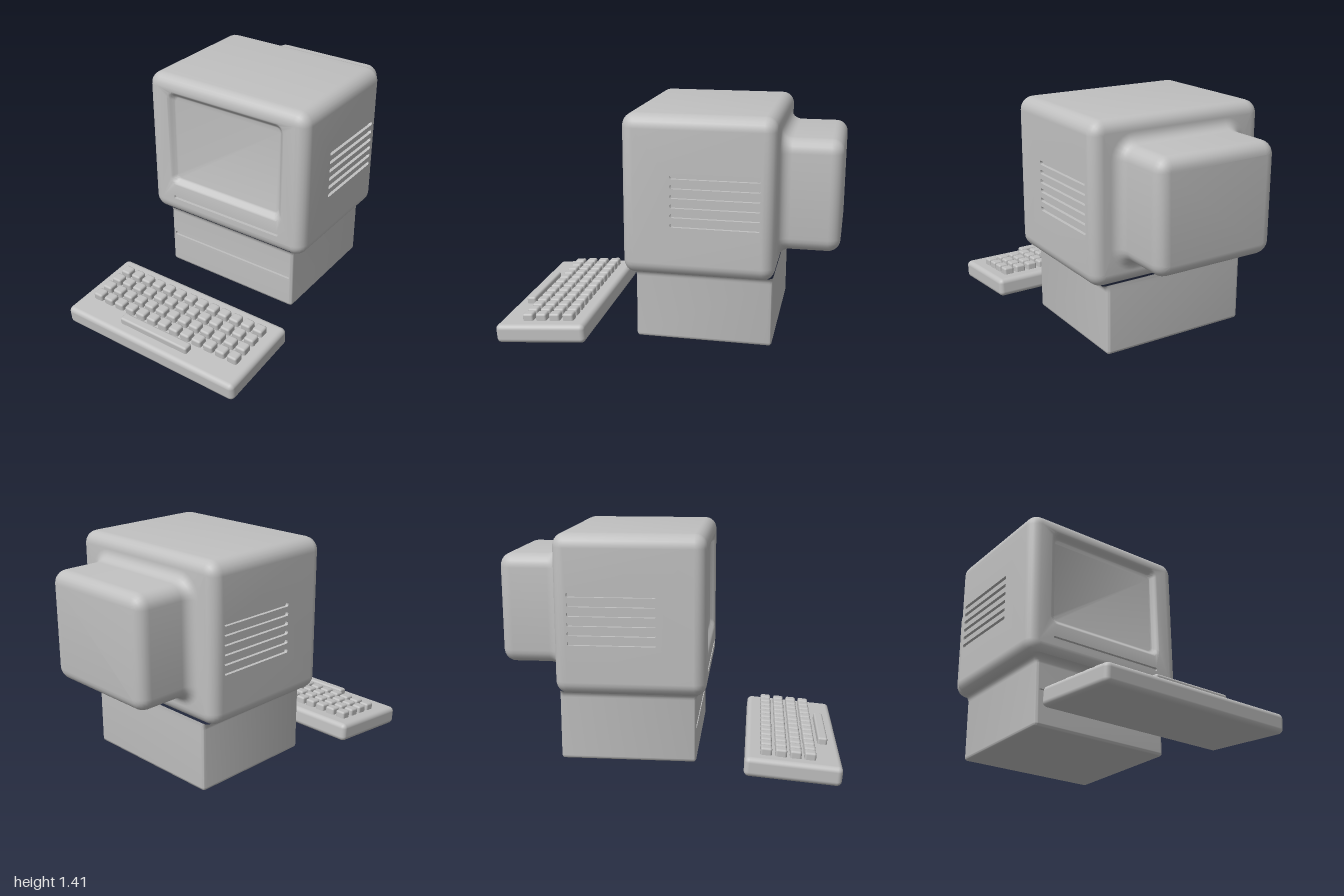
import * as THREE from 'three';
import { mergeGeometries, toCreasedNormals } from 'three/addons/utils/BufferGeometryUtils.js';
import { RoundedBoxGeometry } from 'three/addons/geometries/RoundedBoxGeometry.js';

const N = 6; // segments per rounded corner
const STEPS = [0, 1, 2, 3, 4, 5, 6].map((i) => (i / 6) * Math.PI / 2);

// Rounded rectangle of half sizes w, h, counter-clockwise around (cx, cy)
function ring(w, h, r, cx = 0, cy = 0) {
  const pts = [];
  [[1, 1], [-1, 1], [-1, -1], [1, -1]].forEach(([sx, sy], k) => {
    for (let j = 0; j <= N; j++) {
      const a = (k + j / N) * Math.PI / 2;
      pts.push(new THREE.Vector2(
        cx + sx * (w - r) + r * Math.cos(a), cy + sy * (h - r) + r * Math.sin(a)));
    }
  });
  return pts;
}

// Skin over sections [z, ring]; skip(segment, straightSide) leaves an opening.
// Straight sides: 0 = +y, 1 = -x, 2 = -y, 3 = +x
function loft(sections, { capStart = false, capEnd = false, skip = () => false } = {}) {
  const pos = [], index = [], n = sections[0][1].length;
  sections.forEach(([z, pts]) => pts.forEach((p) => pos.push(p.x, p.y, z)));
  for (let i = 0; i < sections.length - 1; i++) {
    for (let j = 0; j < n; j++) {
      if (j % (N + 1) === N && skip(i, (j - N) / (N + 1))) continue;
      const a = i * n + j, b = i * n + (j + 1) % n;
      index.push(a, b, b + n, a, b + n, a + n);
    }
  }
  const last = (sections.length - 1) * n;
  for (let j = 1; j < n - 1; j++) {
    if (capStart) index.push(0, j + 1, j);
    if (capEnd) index.push(last, last + j, last + j + 1);
  }
  const g = new THREE.BufferGeometry();
  g.setAttribute('position', new THREE.Float32BufferAttribute(pos, 3));
  g.setIndex(index);
  return g;
}

// Flat panel facing +z with sunken grooves and further openings
function panel(outline, grooves, depth, openings = []) {
  const shape = new THREE.Shape(outline);
  [...grooves, ...openings].forEach((h) => shape.holes.push(new THREE.Path(h)));
  return [
    new THREE.ShapeGeometry(shape),
    ...grooves.map((g) => loft([[0, g], [-depth, g]], { capEnd: true })),
  ];
}

const rect = (x0, x1, y0, y1) =>
  [[x0, y0], [x1, y0], [x1, y1], [x0, y1]].map(([x, y]) => new THREE.Vector2(x, y));

// Join pieces, smooth the rounded areas and keep hard edges
function join(pieces) {
  const plain = pieces.map((p) => {
    const g = p.index ? p.toNonIndexed() : p;
    g.deleteAttribute('uv');
    g.deleteAttribute('normal');
    return g;
  });
  return toCreasedNormals(mergeGeometries(plain), 0.6);
}

function housingGeometry() {
  const W = 0.56, H = 0.465, CY = 0.945, R = 0.08, E = 0.07;
  const BACK = -0.65, FRONT = 0.22, F = 0.065;
  const main = (d) => ring(W - d, H - d, R - d, 0, CY);
  const rear = (d) => ring(0.385 + d, 0.325 + d, 0.08 + d, 0, CY);
  const s = [];
  // rear bulge with a rounded end and a concave fillet into the case
  STEPS.forEach((a) => s.push([-1 + E * (1 - Math.cos(a)), rear(-E * (1 - Math.sin(a)))]));
  STEPS.forEach((a) => s.push([BACK - F + F * Math.sin(a), rear(F * (1 - Math.cos(a)))]));
  // main case
  STEPS.forEach((a) => s.push([BACK + E * (1 - Math.cos(a)), main(E * (1 - Math.sin(a)))]));
  const wall = s.length - 1;
  STEPS.forEach((a) => s.push([FRONT - E + E * Math.sin(a), main(E * (1 - Math.cos(a)))]));
  const pieces = [loft(s, { capStart: true, skip: (i, side) => i === wall && side % 2 === 1 })];

  // front face with soft screen recess and a long slot
  const screen = (d) => ring(0.415 - d, 0.318 - d, 0.05 - d * 0.5, 0, 1.005);
  const slot = ring(0.39, 0.011, 0.008, 0, 0.598);
  const front = panel(main(E), [slot], 0.02, [screen(0)]);
  front.forEach((g) => pieces.push(g.translate(0, 0, FRONT)));
  const dish = [];
  for (let i = 0; i <= 8; i++) {
    const t = i / 8;
    dish.push([FRONT - 0.035 * t * t * (3 - 2 * t), screen(0.045 * t)]);
  }
  pieces.push(loft(dish, { capEnd: true }));

  // side faces with six vents each
  for (const side of [1, -1]) {
    const along = (z) => -side * z;
    const ends = [along(BACK + E), along(FRONT - E)].sort((a, b) => a - b);
    const vents = [];
    for (let i = 0; i < 6; i++) {
      vents.push(ring(0.253, 0.012, 0.009, along(-0.315), 0.79 + i * 0.0555));
    }
    panel(rect(...ends, CY - H + R, CY + H - R), vents, 0.02)
      .forEach((g) => pieces.push(g.rotateY(side * Math.PI / 2).translate(side * W, 0, 0)));
  }
  return join(pieces);
}

function pedestalGeometry() {
  const W = 0.465, D = 0.4, R = 0.02, Y0 = 0.065, TOP = 0.49, F = 0.045;
  const s = [];
  STEPS.forEach((a) => {
    const d = R * (1 - Math.sin(a)) * 0.9;
    s.push([Y0 + R * (1 - Math.cos(a)), ring(W - d, D - d, R - d, 0, 0.24)]);
  });
  const wall = s.length - 1;
  // neck flares gently into the case, not past its back
  STEPS.forEach((a) => {
    const g = F * (1 - Math.cos(a));
    s.push([TOP - F + F * Math.sin(a), ring(W + g, D + g / 2, R + g / 2, 0, 0.24 - g / 2)]);
  });
  const skin = loft(s, { capStart: true, skip: (i, side) => i === wall && side === 2 });
  skin.rotateX(-Math.PI / 2);
  const groove = ring(0.442, 0.012, 0.006, 0, 0.278);
  const front = panel(rect(R - W, W - R, Y0 + R, TOP - F), [groove], 0.015);
  return join([skin, ...front.map((g) => g.translate(0, 0, 0.16))]);
}

export function createModel() {
  const model = new THREE.Group();
  const casing = new THREE.MeshStandardMaterial({ color: 0xc0c0c0 });
  casing.name = 'casing grey';
  const add = (parent, name, geometry, x = 0, y = 0, z = 0) => {
    const mesh = new THREE.Mesh(geometry, casing);
    mesh.name = name;
    mesh.position.set(x, y, z);
    parent.add(mesh);
  };

  add(model, 'monitorHousing', housingGeometry());
  add(model, 'pedestal', pedestalGeometry());

  // tilted keyboard with four rows of keys and a space bar
  const keyboard = new THREE.Group();
  keyboard.name = 'keyboard';
  keyboard.position.set(0, 0.081, 0.72);
  keyboard.rotation.x = 0.085;
  add(keyboard, 'keyboardCase', new RoundedBoxGeometry(1.23, 0.115, 0.557, 4, 0.03));
  const key = new RoundedBoxGeometry(0.066, 0.07, 0.066, 2, 0.013);
  [-0.16, -0.074, 0.01, 0.093].forEach((z) => {
    for (let i = 0; i < 13; i++) add(keyboard, 'key', key, (i - 6) * 0.084, 0.065, z);
  });
  add(keyboard, 'spaceBar', new RoundedBoxGeometry(0.495, 0.07, 0.058, 2, 0.013), 0, 0.063, 0.18);
  model.add(keyboard);
  return model;
}
